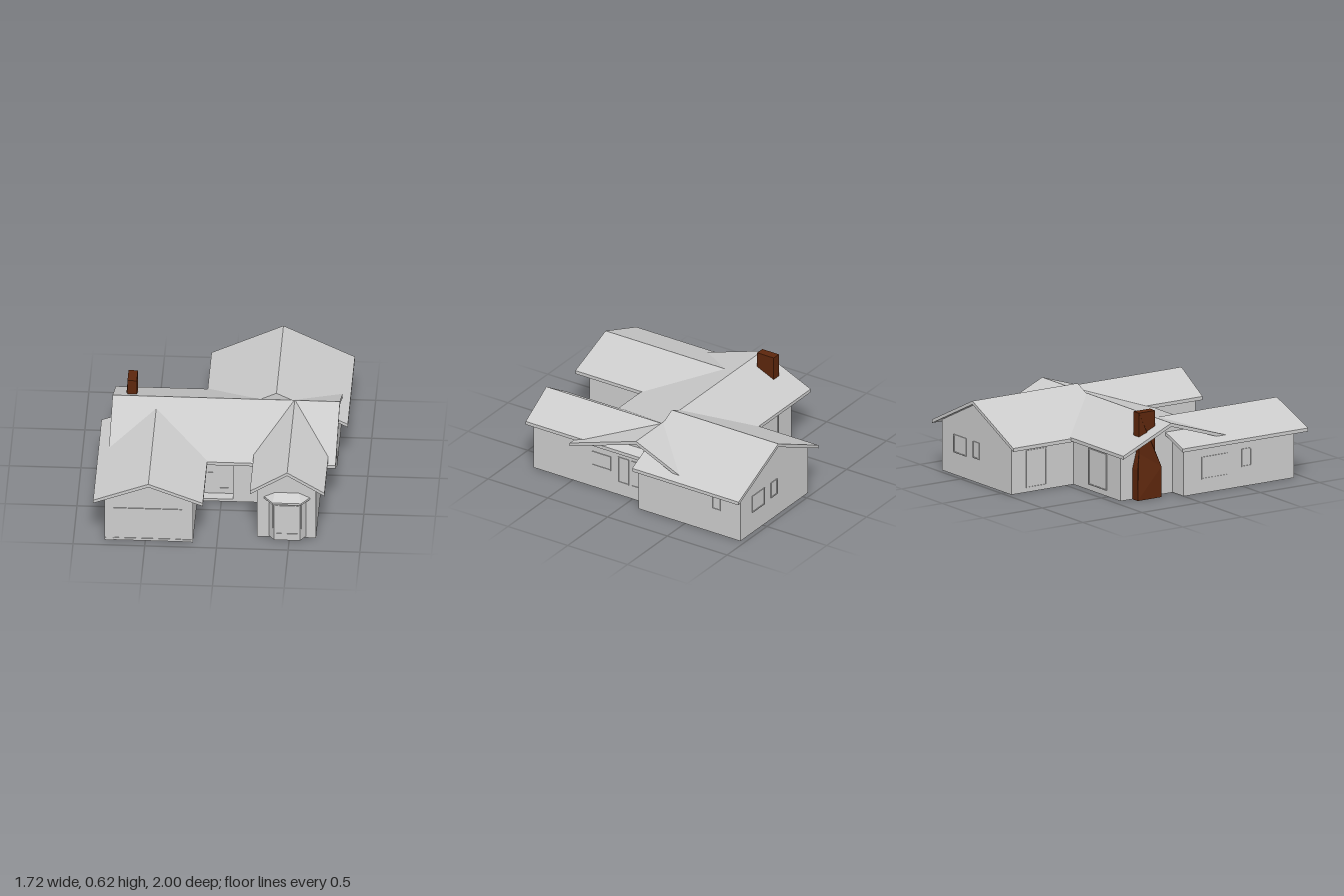
import * as THREE from 'three';

const T = 0.025; // roof thickness
const wallMat = new THREE.MeshStandardMaterial({ color: 0xcccccc, flatShading: true });
const brickMat = new THREE.MeshStandardMaterial({ color: 0x5c260c, flatShading: true });

const polygon = (pts) => new THREE.Shape(pts.map(([a, b]) => new THREE.Vector2(a, b)));
const extrude = (shape, depth) => new THREE.ExtrudeGeometry(shape, { depth, bevelEnabled: false });

// Roof sections: left eave, ridge, right eave as [across, height]; run along the axis from..to
const ROOFS = {
  main: { axis: 'x', pts: [[-0.51, 0.36], [-0.105, 0.54], [0.45, 0.36]], from: -0.785, to: 0.8 },
  garage: { axis: 'z', pts: [[-0.86, 0.363], [-0.475, 0.506], [-0.095, 0.363]], from: -0.06, to: 1.0 },
  frontWing: { axis: 'z', pts: [[0.225, 0.384], [0.485, 0.542], [0.745, 0.384]], from: -0.1, to: 0.855 },
  backWing: { axis: 'z', pts: [[-0.145, 0.353], [0.357, 0.59], [0.855, 0.353]], from: -1.0, to: -0.11 },
};

// Height of a roof's top surface at a position across it
function roofHeight([a, b, c], u) {
  const e = u < b[0] ? a : c;
  return b[1] + (e[1] - b[1]) * (u - b[0]) / (e[0] - b[0]);
}

// Extrude a section along x or z between two positions
function along(axis, shape, from, to) {
  const g = extrude(shape, to - from);
  if (axis === 'z') return g.translate(0, 0, from);
  return g.translate(0, 0, -to).rotateY(-Math.PI / 2);
}

export function createModel() {
  const house = new THREE.Group();
  house.name = 'house';

  const add = (name, geo, mat = wallMat, parent = house) => {
    const m = new THREE.Mesh(geo, mat);
    m.name = name;
    parent.add(m);
    return m;
  };
  const box = (name, x0, x1, y0, y1, z0, z1, mat) =>
    add(name, new THREE.BoxGeometry(x1 - x0, y1 - y0, z1 - z0)
      .translate((x0 + x1) / 2, (y0 + y1) / 2, (z0 + z1) / 2), mat);

  // Roofs: thick chevrons that run into one another at the valleys
  for (const [key, r] of Object.entries(ROOFS)) {
    const under = r.pts.map(([u, y]) => [u, y - T]).reverse();
    add(key + 'Roof', along(r.axis, polygon([...r.pts, ...under]), r.from, r.to));
  }

  // Walls: a section that reaches up to the underside of its roof
  function walls(name, roofKey, u0, u1, from, to) {
    const { axis, pts } = ROOFS[roofKey];
    const top = (u) => roofHeight(pts, u) - T + 0.003;
    const section = polygon([[u0, 0], [u1, 0], [u1, top(u1)], [pts[1][0], top(pts[1][0])], [u0, top(u0)]]);
    add(name, along(axis, section, from, to));
  }
  walls('mainWallsLeft', 'main', -0.44, 0.385, 0.082, 0.685);
  walls('mainWallsEntry', 'main', -0.44, 0.31, -0.17, 0.082);
  walls('mainWallsRight', 'main', -0.44, 0.385, -0.65, -0.17);
  walls('garageWalls', 'garage', -0.785, -0.168, 0, 0.93);
  walls('frontWingWalls', 'frontWing', 0.275, 0.685, 0, 0.83);
  walls('backWingWalls', 'backWing', -0.07, 0.78, -0.965, -0.112);

  // Entry slab and the beam under the front eave
  box('entrySlab', -0.17, 0.082, 0, 0.02, 0.3, 0.385);
  box('entryBeam', -0.168, 0.275, 0.322, 0.36, 0.365, 0.39);

  // Framed panels on a wall; 'at' is the wall plane, u the centre along it
  const turn = { front: 0, left: Math.PI / 2, back: Math.PI, right: -Math.PI / 2 };
  function panel(name, side, at, u0, u1, y0, y1, bars = 0) {
    const g = new THREE.Group();
    g.name = name;
    const w = u1 - u0, h = y1 - y0, f = 0.007;
    const rect = (a, b) => [[-a, -b], [a, -b], [a, b], [-a, b]];
    const frame = polygon(rect(w / 2, h / 2));
    frame.holes.push(new THREE.Path(polygon(rect(w / 2 - f, h / 2 - f).reverse()).getPoints()));
    add('frame', extrude(frame, 0.006), wallMat, g);
    add('pane', new THREE.BoxGeometry(w - f, h - f, 0.003), wallMat, g);
    for (let i = 1; i <= bars; i++) {
      add('bar', new THREE.BoxGeometry(0.004, h - f, 0.008)
        .translate(-w / 2 + (w * i) / (bars + 1), 0, 0), wallMat, g);
    }
    const c = (u0 + u1) / 2, y = (y0 + y1) / 2;
    if (side === 'front' || side === 'back') g.position.set(c, y, at);
    else g.position.set(at, y, c);
    g.rotation.y = turn[side];
    house.add(g);
  }
  panel('garageDoor', 'front', 0.93, -0.72, -0.243, 0.015, 0.265);
  panel('entryWindow', 'front', 0.31, -0.155, -0.055, 0.185, 0.285);
  panel('frontDoor', 'front', 0.31, -0.02, 0.077, 0.06, 0.29);
  panel('wingSideWindow', 'left', 0.685, 0.18, 0.34, 0.17, 0.28, 1);
  panel('wingTallWindow', 'left', 0.685, 0.03, 0.12, 0.1, 0.3);
  panel('wingTallWindow', 'left', 0.685, -0.08, 0.01, 0.1, 0.3);
  panel('backWingSideWindow', 'left', 0.78, -0.797, -0.73, 0.19, 0.305);
  panel('backWindowLarge', 'back', -0.965, 0.48, 0.635, 0.16, 0.29);
  panel('backWindowSmall', 'back', -0.965, 0.32, 0.4, 0.17, 0.29);
  panel('patioDoor', 'right', -0.07, -0.84, -0.67, 0.03, 0.3, 1);
  panel('patioWindow', 'back', -0.44, -0.48, -0.26, 0.04, 0.3);
  panel('garageSideWindow', 'right', -0.785, 0.15, 0.37, 0.1, 0.26, 1);
  panel('garageSideWindow', 'right', -0.785, 0.49, 0.57, 0.14, 0.27);

  // Foundation strips beside the garage door
  box('foundationStrip', -0.785, -0.722, 0, 0.018, 0.92, 0.934);
  box('foundationStrip', -0.241, -0.168, 0, 0.018, 0.92, 0.934);

  // Bay window: three-sided body, panes, eave and hipped cap
  const plan = (pts, y0, y1) =>
    extrude(polygon(pts.map(([x, z]) => [x, -z])), y1 - y0).rotateX(-Math.PI / 2).translate(0, y0, 0);
  add('bayBody', plan([[0.353, 0.825], [0.395, 0.887], [0.575, 0.887], [0.617, 0.825]], 0.01, 0.32));
  const eave = [[0.32, 0.825], [0.385, 0.912], [0.585, 0.912], [0.645, 0.825]];
  add('bayEave', plan(eave, 0.313, 0.328));
  panel('bayWindow', 'front', 0.887, 0.405, 0.565, 0.06, 0.295, 1);
  for (const s of [-1, 1]) {
    const pane = add('baySidePane', new THREE.BoxGeometry(0.045, 0.2, 0.008));
    pane.position.set(0.485 + s * 0.111, 0.2, 0.856);
    pane.rotation.y = s * 0.975;
  }
  const low = eave.map(([x, z]) => [x, 0.328, z]);
  const hi = [[0.4, 0.365, 0.828], [0.565, 0.365, 0.828]];
  const tris = [low[0], low[1], hi[0], low[1], low[2], hi[1], low[1], hi[1], hi[0], low[2], low[3], hi[1]];
  const cap = new THREE.BufferGeometry();
  cap.setAttribute('position', new THREE.Float32BufferAttribute(tris.flat(), 3));
  cap.computeVertexNormals();
  add('bayCap', cap, new THREE.MeshStandardMaterial({ color: 0xcccccc, flatShading: true, side: THREE.DoubleSide }));

  // Chimney: wide hearth, sloping shoulders, narrow stack
  const stack = [[-0.34, 0], [-0.14, 0], [-0.14, 0.22], [-0.172, 0.33], [-0.172, 0.62], [-0.31, 0.62], [-0.31, 0.33], [-0.34, 0.22]];
  const chimney = along('x', polygon(stack), -0.715, -0.62);
  const p = chimney.attributes.position;
  for (let i = 0; i < p.count; i++) {
    if (p.getY(i) > 0.3 && p.getX(i) < -0.7) p.setX(i, -0.685);
  }
  chimney.computeVertexNormals();
  add('chimney', chimney, brickMat);

  return house;
}
